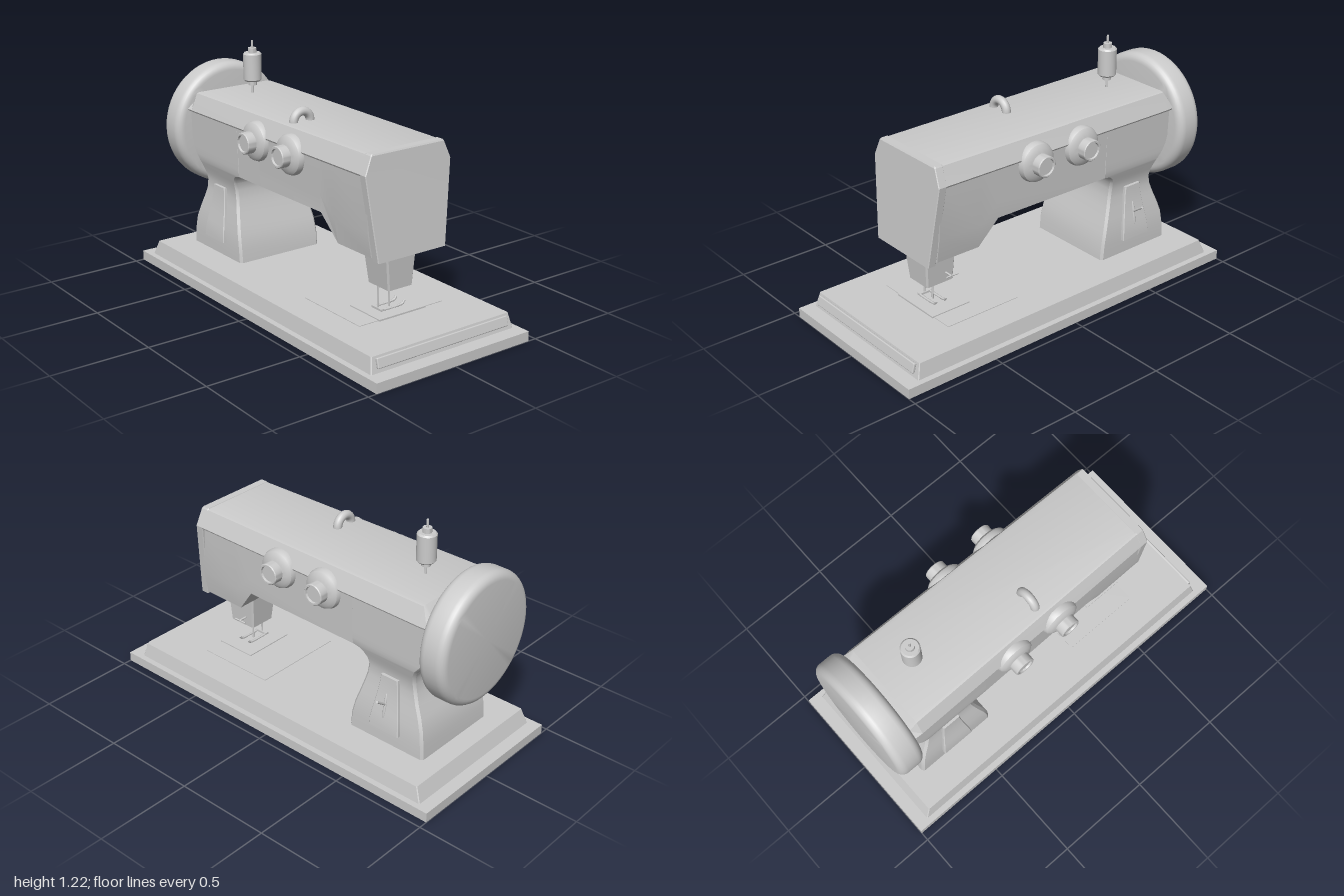
import * as THREE from 'three';
import { toCreasedNormals } from 'three/addons/utils/BufferGeometryUtils.js';
import { RoundedBoxGeometry } from 'three/addons/geometries/RoundedBoxGeometry.js';

const V = (x, y, z) => new THREE.Vector3(x, y, z);

// Skin a list of rings (same point count each), cap both ends, and turn faces outward
function loft(rings, crease = 0.5) {
  const n = rings[0].length, tris = [];
  for (let i = 0; i < rings.length - 1; i++) {
    for (let j = 0; j < n; j++) {
      const k = (j + 1) % n, [a, b] = [rings[i], rings[i + 1]];
      tris.push([a[j], a[k], b[k]], [a[j], b[k], b[j]]);
    }
  }
  const first = rings[0], last = rings[rings.length - 1];
  for (let j = 1; j < n - 1; j++) {
    tris.push([first[0], first[j + 1], first[j]], [last[0], last[j], last[j + 1]]);
  }
  const volume = tris.reduce((s, [a, b, c]) => s + a.dot(b.clone().cross(c)), 0);
  const points = tris.flatMap(([a, b, c]) => (volume < 0 ? [a, c, b] : [a, b, c]));
  const g = new THREE.BufferGeometry().setFromPoints(points);
  return toCreasedNormals(g, crease);
}

// Horizontal ring with chamfered corners
function ring(y, x0, x1, z0, z1, c = 0.004) {
  return [
    V(x0 + c, y, z0), V(x1 - c, y, z0), V(x1, y, z0 + c), V(x1, y, z1 - c),
    V(x1 - c, y, z1), V(x0 + c, y, z1), V(x0, y, z1 - c), V(x0, y, z0 + c),
  ];
}

// Upright ring across x from its +x half, listed from bottom to top
function mirrored(half, z) {
  return [
    ...half.map(([x, y]) => V(x, y, z)),
    ...half.slice().reverse().map(([x, y]) => V(-x, y, z)),
  ];
}

const lathe = (pts, seg = 40) => toCreasedNormals(
  new THREE.LatheGeometry(pts.map(([r, y]) => new THREE.Vector2(r, y)), seg), 0.55);

export function createModel() {
  const model = new THREE.Group();
  const material = new THREE.MeshStandardMaterial({ color: 0xcccccc });
  const add = (name, geometry, x = 0, y = 0, z = 0, parent = model) => {
    const mesh = new THREE.Mesh(geometry, material);
    mesh.name = name;
    mesh.position.set(x, y, z);
    parent.add(mesh);
    return mesh;
  };
  const rod = (name, a, b, r, parent = model) => {
    const mesh = add(name, new THREE.CylinderGeometry(r, r, a.distanceTo(b), 12), 0, 0, 0, parent);
    mesh.position.copy(a).lerp(b, 0.5);
    mesh.quaternion.setFromUnitVectors(V(0, 1, 0), b.clone().sub(a).normalize());
    return mesh;
  };

  // Base: flat slab, sloped plinth and front strip
  add('baseSlab', new THREE.BoxGeometry(0.91, 0.05, 2), 0, 0.025, 0);
  add('basePlinth', loft([
    ring(0.05, -0.425, 0.425, -0.935, 0.925),
    ring(0.125, -0.41, 0.41, -0.905, 0.905),
  ]));
  const strip = add('baseFrontStrip', new RoundedBoxGeometry(0.78, 0.05, 0.016, 2, 0.005), 0, 0.094, 0.919);
  strip.rotation.x = -0.26;

  // Column: rows of y, half width, front z, back z
  const columnRows = [
    [0.12, 0.245, -0.36, -0.805], [0.2, 0.245, -0.367, -0.8], [0.27, 0.24, -0.383, -0.79],
    [0.33, 0.23, -0.402, -0.77], [0.39, 0.22, -0.42, -0.745], [0.44, 0.212, -0.433, -0.728],
    [0.49, 0.212, -0.44, -0.72], [0.53, 0.222, -0.437, -0.724], [0.56, 0.232, -0.42, -0.735],
    [0.577, 0.237, -0.397, -0.744], [0.586, 0.24, -0.36, -0.75], [0.62, 0.243, -0.36, -0.778],
    [0.66, 0.244, -0.36, -0.8], [0.7, 0.245, -0.36, -0.81], [0.86, 0.25, -0.36, -0.81],
  ];
  add('column', loft(columnRows.map(([y, w, f, b]) => ring(y, -w, w, b, f, 0.012)), 0.7));

  // Arm: hollow below the middle, dropping to the head at the front
  const armWidth = (y) => (y > 0.585
    ? THREE.MathUtils.mapLinear(y, 0.585, 0.86, 0.24, 0.25)
    : THREE.MathUtils.mapLinear(y, 0.45, 0.585, 0.215, 0.24));
  const armRows = [[-0.38, 0.585], [0.3, 0.585], [0.4, 0.455], [0.64, 0.455]];
  add('arm', loft(armRows.map(([z, yb]) => {
    const s = THREE.MathUtils.mapLinear(z, -0.38, 0.64, 1, 0.94);
    const ys = [yb, THREE.MathUtils.lerp(yb, 0.86, 0.3), 0.86];
    return mirrored(ys.map((y) => [armWidth(y) * s, y]), z);
  }), 0.3));

  // Top cover with a slight overhang and sloped rear end
  const coverRows = [[-0.812, 0.262, 0.225, 0.885], [-0.768, 0.265, 0.23, 0.94], [0.625, 0.25, 0.212, 0.94]];
  add('topCover', loft(coverRows.map(([z, wide, narrow, top]) => mirrored([
    [wide - 0.004, 0.842], [wide, 0.85], [narrow, top - 0.004], [narrow - 0.015, top],
  ], z)), 0.35));

  // Face plate closing the front of the arm
  add('facePlate', loft([
    ring(0.44, -0.2, 0.2, 0.645, 0.69), ring(0.85, -0.25, 0.25, 0.608, 0.653),
    ring(0.935, -0.214, 0.214, 0.6, 0.646), ring(0.942, -0.208, 0.208, 0.603, 0.642),
  ], 0.3));

  // Needle head, bars and foot
  add('needleHead', loft([
    ring(0.25, -0.07, 0.075, 0.453, 0.608, 0.008), ring(0.47, -0.098, 0.088, 0.436, 0.622, 0.008),
  ], 0.3));
  rod('presserBar', V(-0.065, 0.13, 0.525), V(-0.065, 0.26, 0.525), 0.005);
  rod('needleBar', V(0.002, 0.13, 0.525), V(0.002, 0.26, 0.525), 0.005);
  rod('footLever', V(0.07, 0.3, 0.5), V(0.125, 0.3, 0.5), 0.005);
  rod('footLeverGrip', V(0.122, 0.3, 0.53), V(0.122, 0.3, 0.46), 0.004);
  add('slidePlate', new THREE.BoxGeometry(0.5, 0.006, 0.42), 0, 0.125, 0.41);
  add('needlePlate', new THREE.BoxGeometry(0.28, 0.008, 0.22), 0, 0.129, 0.52);
  for (const z of [0.495, 0.555]) {
    const toe = new THREE.CatmullRomCurve3([
      V(-0.075, 0.137, z), V(0.03, 0.137, z), V(0.06, 0.142, z), V(0.07, 0.156, z),
    ]);
    add('presserFootToe', new THREE.TubeGeometry(toe, 16, 0.006, 8));
  }
  add('presserFootBridge', new THREE.BoxGeometry(0.02, 0.01, 0.07), -0.065, 0.138, 0.525);

  // Hand wheel with a rounded rim
  const wheelProfile = [[0, 0], [0.285, 0]];
  for (let i = 1; i <= 6; i++) {
    const a = (i / 6) * Math.PI / 2;
    wheelProfile.push([0.285 + 0.042 * Math.sin(a), 0.042 * (1 - Math.cos(a))]);
  }
  const rim = wheelProfile.slice(1).reverse().map(([r, y]) => [r, 0.147 - y]);
  const wheel = add('handWheel', lathe([...wheelProfile, ...rim, [0, 0.147]], 56), 0, 0.733, -0.955);
  wheel.rotation.x = Math.PI / 2;

  // Dials on both sides, each a rounded flange with a hollow-faced knob
  const dialProfile = [
    [0.1, 0], [0.1, 0.018], [0.094, 0.034], [0.078, 0.046], [0.06, 0.05], [0.054, 0.052],
    [0.054, 0.094], [0.05, 0.098], [0.042, 0.098], [0.04, 0.088], [0, 0.088],
  ];
  for (const side of [-1, 1]) {
    for (const z of [0.085, -0.2]) {
      const dial = add('dial', lathe(dialProfile), side * 0.232, 0.815, z);
      dial.rotation.z = -side * Math.PI / 2;
    }
  }

  // Flared panels on the column sides: rows of y, inner x, outer x, half length
  const panelRows = [
    [0.2, 0.235, 0.264, 0.088], [0.24, 0.235, 0.262, 0.086], [0.29, 0.225, 0.254, 0.078],
    [0.34, 0.215, 0.244, 0.069], [0.39, 0.205, 0.236, 0.061], [0.44, 0.2, 0.23, 0.054],
    [0.48, 0.2, 0.228, 0.049],
  ];
  for (const side of [-1, 1]) {
    add('sidePanel', loft(panelRows.map(([y, inner, outer, h]) => {
      const xs = [side * inner, side * outer].sort((a, b) => a - b);
      return ring(y, xs[0], xs[1], -0.582 - h, -0.582 + h);
    }), 0.5));
  }
  const slot = add('leverSlot', new THREE.SphereGeometry(1, 12, 12), 0.246, 0.33, -0.577);
  slot.scale.set(0.007, 0.065, 0.008);
  slot.rotation.z = 0.17;
  rod('reverseLever', V(0.235, 0.332, -0.577), V(0.305, 0.382, -0.577), 0.006);

  // Carrying loop on top
  add('topLoop', new THREE.TorusGeometry(0.048, 0.022, 14, 24, Math.PI), -0.12, 0.94, 0);

  // Thread spool on its pin
  const spool = new THREE.Group();
  spool.name = 'threadSpool';
  spool.position.set(0, 0.94, -0.595);
  model.add(spool);
  rod('spoolPin', V(0, -0.01, 0), V(0, 0.275, 0), 0.006, spool);
  add('spoolBody', lathe([
    [0, 0.042], [0.022, 0.042], [0.022, 0.064], [0.04, 0.064], [0.047, 0.072], [0.047, 0.204],
    [0.04, 0.212], [0.022, 0.212], [0.022, 0.236], [0, 0.236],
  ], 28), 0, 0, 0, spool);

  return model;
}
